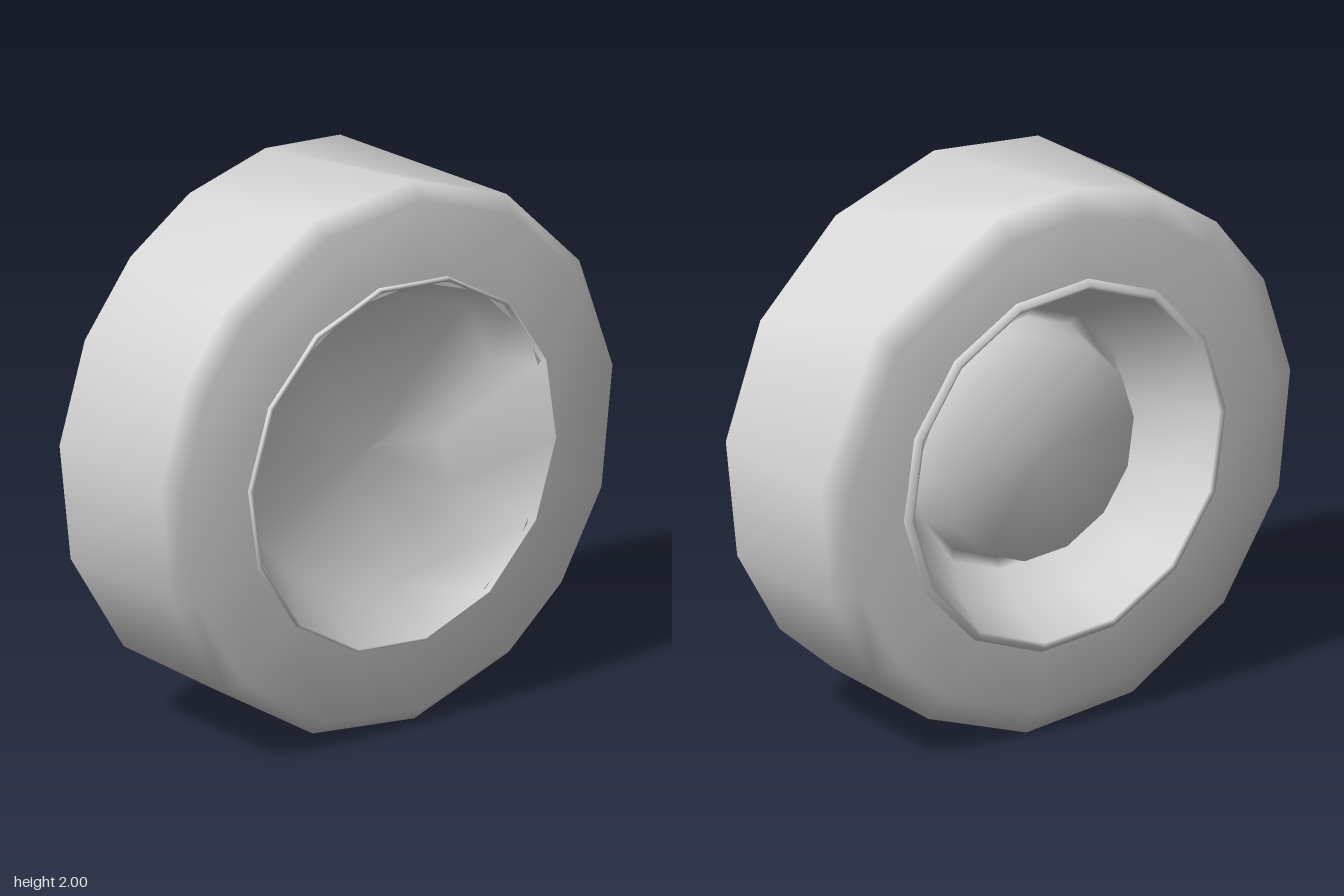
import * as THREE from 'three';

// Facet angles in degrees around the axle, measured from the back upwards;
// the two edges of the tread are slightly twisted against each other
const OUTER_ANGLES = [6.4, 32, 58, 83.4, 109, 135, 153, 174, 199, 224.6, 251, 277, 302.5, 320, 341];
const INNER_ANGLES = [6.4, 40, 76, 95, 115, 133, 152, 174, 199, 224.6, 251, 277, 302.5, 320, 341];
const RIM_ANGLES = Array.from({ length: 14 }, (_, i) => -4.5 + (i * 360) / 14);

// Uneven outline of the dish floor, one radius for each rim angle
const FLOOR_RADII = [0.31, 0.58, 0.61, 0.56, 0.53, 0.58, 0.58, 0.56, 0.55, 0.52, 0.5, 0.52, 0.58, 0.42];

export function createModel() {
  const model = new THREE.Group();
  model.name = 'wheel';
  const grey = new THREE.MeshStandardMaterial({ color: 0xd6d6d6 });
  grey.name = 'lightGrey';

  // Turns a profile of [x, radius, angles] rows around the axle (the x axis).
  // A radius may also be a list with one value for each angle.
  function turned(name, profile) {
    const positions = [];
    const indices = [];
    const rows = profile.length;
    const sides = profile[0][2].length;
    for (let i = 0; i < sides; i++) {
      const next = ((i + 1) % sides) * rows;
      profile.forEach(([x, radius, angles], j) => {
        const a = THREE.MathUtils.degToRad(angles[i]);
        const r = Array.isArray(radius) ? radius[i] : radius;
        positions.push(x, 1 + r * Math.sin(a), -r * Math.cos(a));
        if (j === rows - 1) return;
        const p = i * rows + j;
        const q = next + j;
        indices.push(p, q, p + 1, q, q + 1, p + 1);
      });
    }
    const geometry = new THREE.BufferGeometry();
    geometry.setAttribute('position', new THREE.Float32BufferAttribute(positions, 3));
    geometry.setIndex(indices);
    geometry.computeVertexNormals();
    const mesh = new THREE.Mesh(geometry, grey);
    mesh.name = name;
    model.add(mesh);
  }

  // Tyre: sidewalls, rounded shoulders and flat tread
  turned('tyre', [
    [-0.36, 0.66, INNER_ANGLES],
    [-0.345, 0.91, INNER_ANGLES],
    [-0.3, 1.003, INNER_ANGLES],
    [0.27, 1.005, OUTER_ANGLES],
    [0.33, 0.95, OUTER_ANGLES],
    [0.355, 0.66, OUTER_ANGLES],
  ]);

  const onRim = ([x, radius]) => [x, radius, RIM_ANGLES];

  // Inner face: hub cap, hub side, sloping channel and rim lip
  turned('hubAndChannel', [
    [-0.21, 0], [-0.2, 0.405], [-0.04, 0.44], [-0.06, 0.48],
    [-0.2, 0.58], [-0.37, 0.65], [-0.378, 0.665], [-0.36, 0.685], [-0.33, 0.685],
  ].map(onRim));

  // Outer face: rim lip and dish
  turned('dish', [
    [0.33, 0.68], [0.365, 0.68], [0.372, 0.67], [0.18, FLOOR_RADII], [0.17, 0],
  ].map(onRim));

  return model;
}
